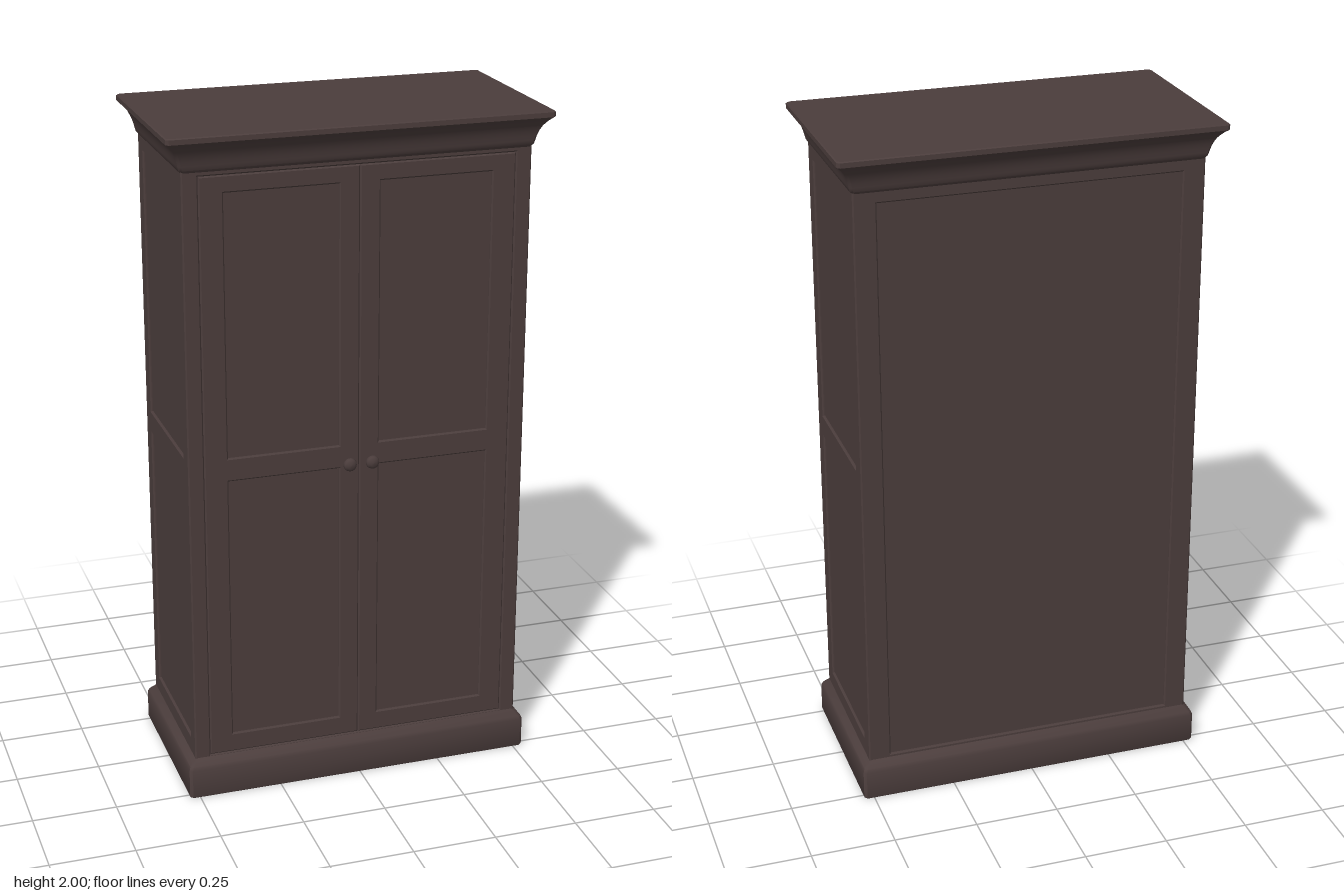
import * as THREE from 'three';
import { toCreasedNormals } from 'three/addons/utils/BufferGeometryUtils.js';

const wood = new THREE.MeshStandardMaterial({ color: 0x4b3d3c });
wood.name = 'dark wood';

function add(parent, name, geometry, x = 0, y = 0, z = 0) {
  const mesh = new THREE.Mesh(geometry, wood);
  mesh.name = name;
  mesh.position.set(x, y, z);
  parent.add(mesh);
  return mesh;
}

// Closed moulding swept around a rectangle; rows are [y, halfWidth, halfDepth], bottom to top
function rectLoft(rows, corner = 0.008) {
  const rings = rows.map(([y, hx, hz]) => [
    [hx, hz - corner], [hx, corner - hz], [hx - corner, -hz], [corner - hx, -hz],
    [-hx, corner - hz], [-hx, hz - corner], [corner - hx, hz], [hx - corner, hz],
  ].map(([x, z]) => [x, y, z]));
  const pos = [];
  const tri = (a, b, c) => pos.push(...a, ...b, ...c);
  const n = 8;
  for (let r = 0; r < rings.length - 1; r++) {
    for (let i = 0; i < n; i++) {
      const j = (i + 1) % n, lo = rings[r], hi = rings[r + 1];
      tri(lo[i], lo[j], hi[j]);
      tri(lo[i], hi[j], hi[i]);
    }
  }
  const bottom = rings[0], top = rings[rings.length - 1];
  for (let i = 1; i < n - 1; i++) {
    tri(top[0], top[i], top[i + 1]);
    tri(bottom[0], bottom[i + 1], bottom[i]);
  }
  const geo = new THREE.BufferGeometry();
  geo.setAttribute('position', new THREE.Float32BufferAttribute(pos, 3));
  geo.computeVertexNormals();
  return toCreasedNormals(geo, 0.6);
}

function rect(Type, [x0, x1, y0, y1]) {
  const s = new Type();
  s.moveTo(x0, y0);
  s.lineTo(x1, y0);
  s.lineTo(x1, y1);
  s.lineTo(x0, y1);
  s.closePath();
  return s;
}

// Bevelled flat frame with rectangular openings; its face lies on z = 0
function frame(outer, holes) {
  const shape = rect(THREE.Shape, outer);
  shape.holes = holes.map((h) => rect(THREE.Path, h));
  const bevel = 0.004;
  return new THREE.ExtrudeGeometry(shape, {
    depth: 0.012, bevelEnabled: true, bevelThickness: bevel, bevelSize: bevel,
    bevelOffset: -bevel, bevelSegments: 1,
  }).translate(0, 0, -0.012 - bevel);
}

export function createModel() {
  const group = new THREE.Group();
  group.name = 'wardrobe';
  const W = 0.507, D = 0.25, inset = 0.007;

  // Carcass, whose faces are the recessed panels
  add(group, 'carcass', new THREE.BoxGeometry(2 * (W - inset), 1.88, 2 * (D - inset)), 0, 1, 0);

  // Plinth with a sloped top edge
  add(group, 'plinth', rectLoft([
    [0, 0.528, 0.271], [0.004, 0.53, 0.273], [0.09, 0.53, 0.273],
    [0.1, 0.526, 0.269], [0.112, 0.515, 0.258], [0.122, 0.505, 0.248],
  ]));

  // Cornice: bead, cove and flat lip
  add(group, 'cornice', rectLoft([
    [1.89, 0.505, 0.248], [1.9, 0.513, 0.256], [1.912, 0.516, 0.259],
    [1.925, 0.519, 0.262], [1.94, 0.524, 0.267], [1.955, 0.531, 0.275],
    [1.968, 0.541, 0.285], [1.977, 0.55, 0.293], [1.983, 0.557, 0.3],
    [1.997, 0.557, 0.3], [2, 0.554, 0.297],
  ]));

  // Front surround and the pair of doors
  const y0 = 0.1, y1 = 1.9;
  add(group, 'frontFrame', frame([-W, W, y0, y1], [[-0.46, 0.46, 0.125, 1.88]]), 0, 0, D);
  for (const side of [-1, 1]) {
    const span = (a, b, lo, hi) => [Math.min(side * a, side * b), Math.max(side * a, side * b), lo, hi];
    const name = side > 0 ? 'left' : 'right';
    add(group, name + 'Door', frame(span(0, 0.46, 0.125, 1.88),
      [span(0.06, 0.39, 0.185, 0.99), span(0.06, 0.39, 1.06, 1.83)]), 0, 0, D);

    // Turned knob
    const profile = [[0, -0.005], [0.011, -0.005], [0.009, 0.008], [0.016, 0.012], [0.02, 0.019],
      [0.018, 0.026], [0.01, 0.031], [0, 0.032]].map(([r, h]) => new THREE.Vector2(r, h));
    const knob = add(group, name + 'Knob', new THREE.LatheGeometry(profile, 20), side * 0.034, 1.006, D);
    knob.rotation.x = Math.PI / 2;

    // Side frame with two panels
    const sideFrame = add(group, name + 'SideFrame', frame([-D, D, y0, y1],
      [[-0.195, 0.195, 0.17, 0.99], [-0.195, 0.195, 1.06, 1.85]]), side * W, 0, 0);
    sideFrame.rotation.y = side * Math.PI / 2;
  }

  // Back frame around one large panel
  const back = add(group, 'backFrame', frame([-W, W, y0, y1], [[-0.44, 0.44, 0.13, 1.86]]), 0, 0, -D);
  back.rotation.y = Math.PI;

  return group;
}
